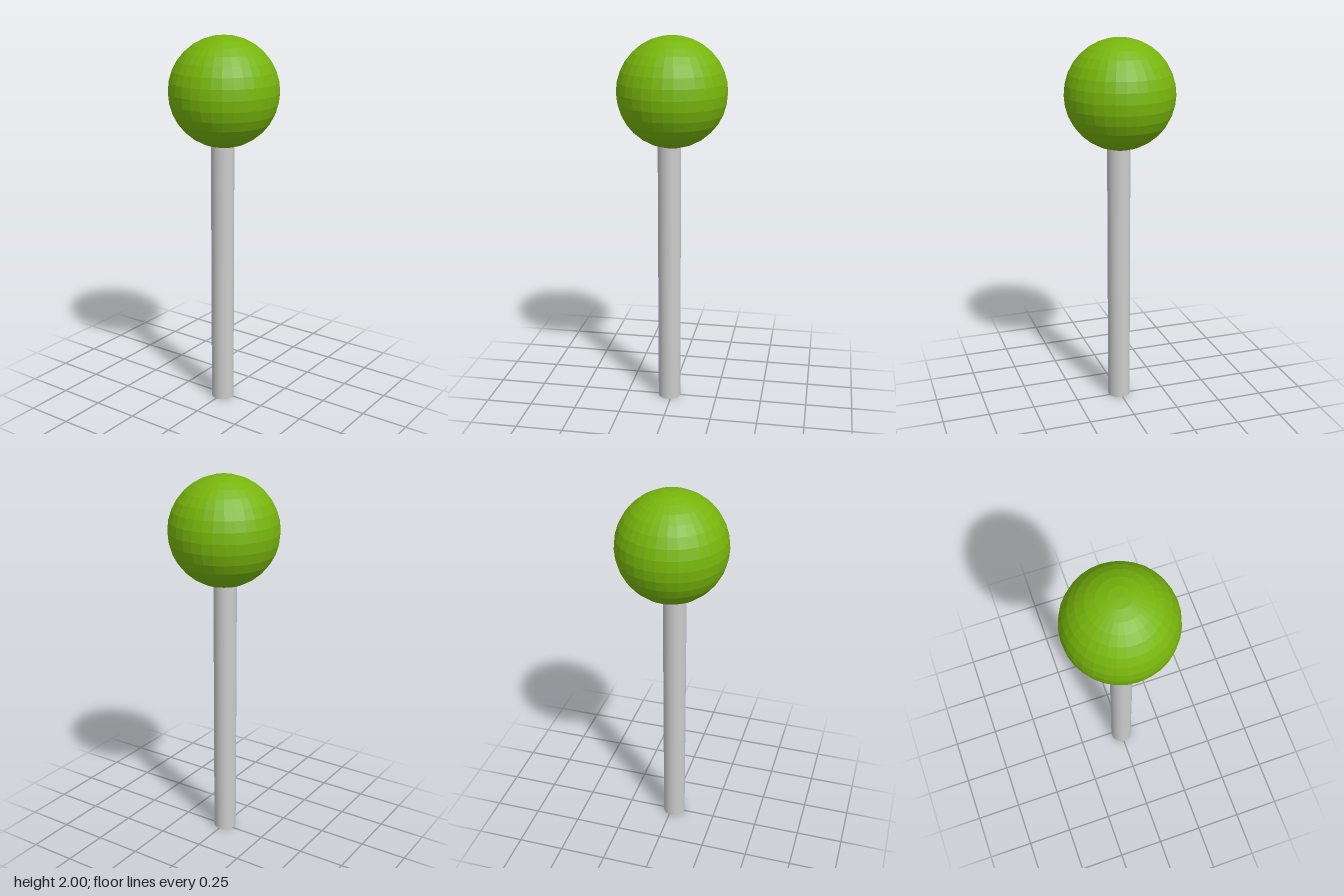
import * as THREE from 'three';

export function createModel() {
  const group = new THREE.Group();
  const radius = 0.287;

  // Faceted round head
  const head = new THREE.Mesh(
    new THREE.SphereGeometry(radius, 32, 16),
    new THREE.MeshStandardMaterial({ color: 0x77b50c, flatShading: true })
  );
  head.name = 'head';
  head.position.y = 2 - radius;
  group.add(head);

  // Straight stick, set slightly off centre and sunk into the head
  const stickHeight = 1.45;
  const stick = new THREE.Mesh(
    new THREE.CylinderGeometry(0.061, 0.061, stickHeight, 32),
    new THREE.MeshStandardMaterial({ color: 0xcccccc })
  );
  stick.name = 'stick';
  stick.position.set(0.002, stickHeight / 2, 0.014);
  group.add(stick);

  return group;
}
